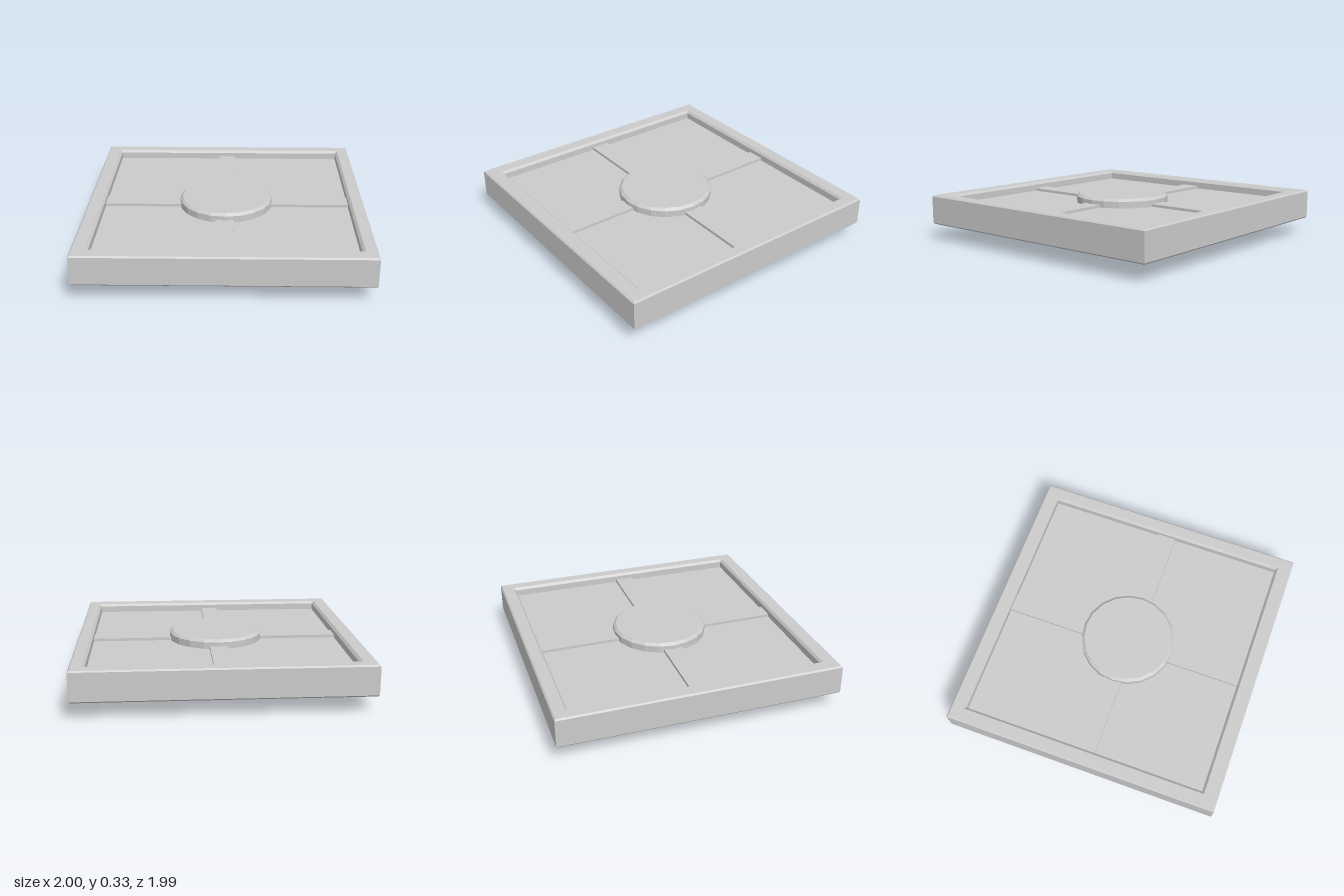
import * as THREE from 'three';
import { toCreasedNormals } from 'three/addons/utils/BufferGeometryUtils.js';

const material = new THREE.MeshStandardMaterial({ color: 0xcccccc, flatShading: true });
const smooth = new THREE.MeshStandardMaterial({ color: 0xcccccc });

function add(group, name, geometry, x = 0, y = 0, z = 0, mat = material) {
  const mesh = new THREE.Mesh(geometry, mat);
  mesh.name = name;
  mesh.position.set(x, y, z);
  group.add(mesh);
  return mesh;
}

// Ring swept around a rectangle: rows are [x half, z half, y, x centre, z centre], closed into a loop.
function rectangularRing(rows) {
  const corners = rows.map(([hx, hz, y, cx = 0, cz = 0]) =>
    [[-1, 1], [1, 1], [1, -1], [-1, -1]].map(([sx, sz]) => [cx + sx * hx, y, cz + sz * hz]));
  const positions = [];
  for (let i = 0; i < rows.length; i++) {
    const lower = corners[i], upper = corners[(i + 1) % rows.length];
    for (let k = 0; k < 4; k++) {
      const n = (k + 1) % 4;
      for (const p of [lower[k], lower[n], upper[n], lower[k], upper[n], upper[k]]) positions.push(...p);
    }
  }
  const geometry = new THREE.BufferGeometry();
  geometry.setAttribute('position', new THREE.Float32BufferAttribute(positions, 3));
  geometry.computeVertexNormals();
  return geometry;
}

function lathe(points, segments) {
  return new THREE.LatheGeometry(points.map(([r, y]) => new THREE.Vector2(r, y)), segments);
}

export function createModel() {
  const group = new THREE.Group();
  group.name = 'squarePanel';

  // Square border with chamfered outer and inner edges
  const cx = 0.006, cz = -0.005;
  add(group, 'frame', rectangularRing([
    [0.99, 0.986, 0.115], [1, 0.996, 0.125],
    [1, 0.996, 0.32], [0.99, 0.986, 0.33],
    [0.91, 0.9, 0.33, cx, cz], [0.893, 0.885, 0.313, cx, cz],
    [0.893, 0.885, 0.132, cx, cz], [0.91, 0.9, 0.115, cx, cz],
  ]));

  // Recessed sheet, open to both sides of the border
  add(group, 'recessedPanel', new THREE.BoxGeometry(1.83, 0.095, 1.81), 0, 0.2175, 0);

  // Crossed ribs standing slightly proud on both faces
  add(group, 'ribAcross', new THREE.BoxGeometry(1.8, 0.135, 0.138), cx, 0.2175, 0.014);
  add(group, 'ribAlong', new THREE.BoxGeometry(0.13, 0.134, 1.78), -0.004, 0.2175, cz);

  // Faceted centre disc, chamfered above and below
  add(group, 'centreDisc', lathe([
    [0, 0.13], [0.32, 0.13], [0.34, 0.148], [0.34, 0.313], [0.32, 0.331], [0, 0.331],
  ], 20), 0, 0, 0.016);

  // Round foot below the disc
  add(group, 'foot', toCreasedNormals(lathe([
    [0, 0], [0.2, 0], [0.215, 0.015], [0.215, 0.16], [0, 0.16],
  ], 32), 0.5), -0.002, 0, 0.022, smooth);

  return group;
}
